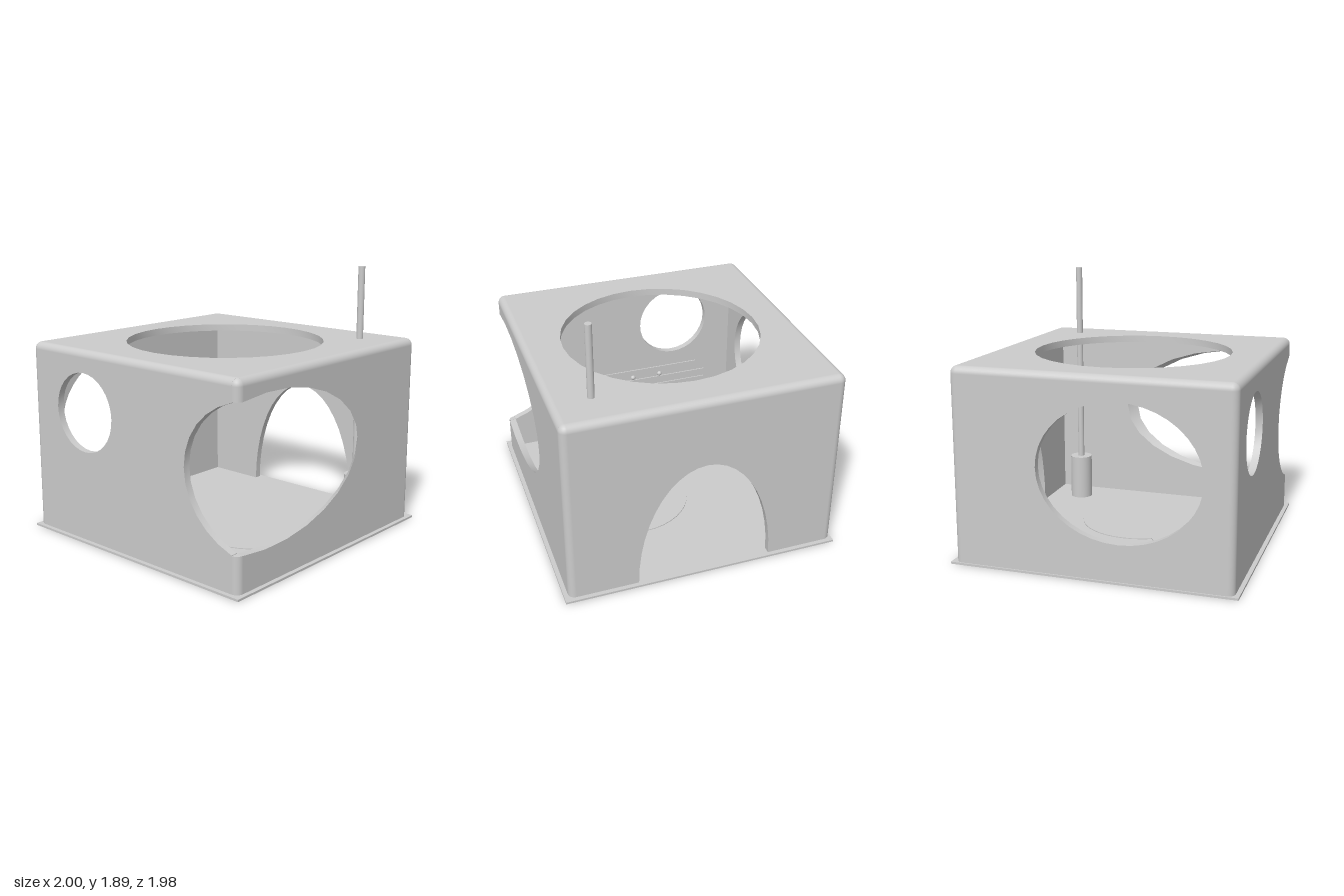
import * as THREE from 'three';
import { toCreasedNormals } from 'three/addons/utils/BufferGeometryUtils.js';
import { RoundedBoxGeometry } from 'three/addons/geometries/RoundedBoxGeometry.js';

// Inner faces of the shell; the wall thickness is also the edge radius
const T = 0.05, X = 0.92, ZF = 0.91, ZB = -0.93, Y0 = 0.015, Y1 = 1.325;
const ZC = (ZF + ZB) / 2, Q = Math.PI / 2;

export function createModel() {
  const model = new THREE.Group();
  const mat = new THREE.MeshStandardMaterial({ color: 0xcccccc, side: THREE.DoubleSide });

  function add(name, geo, x = 0, y = 0, z = 0, parent = model) {
    const mesh = new THREE.Mesh(geo, mat);
    mesh.name = name;
    mesh.position.set(x, y, z);
    parent.add(mesh);
    return mesh;
  }

  const v = (x, y) => new THREE.Vector2(x, y);

  // Points along an ellipse from angle a0 to a1
  function arc(cx, cy, rx, ry, a0, a1, n) {
    return Array.from({ length: n + 1 }, (_, i) => {
      const a = a0 + (a1 - a0) * i / n;
      return v(cx + rx * Math.cos(a), cy + ry * Math.sin(a));
    });
  }

  // Flat panel with holes; lean slides the inner rim of an opening sideways
  function panel(outline, holes = [], lean = 0) {
    const shape = new THREE.Shape(outline);
    holes.forEach(h => shape.holes.push(new THREE.Path(h)));
    const geo = new THREE.ExtrudeGeometry(shape, { depth: T, bevelEnabled: false });
    const p = geo.attributes.position;
    for (let i = 0; lean && i < p.count; i++) {
      if (p.getZ(i) < 0.001 && Math.abs(p.getX(i)) < X - 0.001) p.setX(i, p.getX(i) + lean);
    }
    return toCreasedNormals(geo, 0.5);
  }
  const ellipse = (cx, cy, rx, ry, n) => arc(cx, cy, rx, ry, 0, 2 * Math.PI, n).slice(0, -1);

  // Ground plate
  add('basePlate', new THREE.BoxGeometry(2, Y0, 1.98), 0, Y0 / 2, 0);

  // Front wall with the opening that wraps round the corner
  const f = Math.acos(-0.27 / 0.93);
  add('frontWall', panel([v(-X, Y0), v(X, Y0), v(X, Y1), v(-X, Y1),
    ...arc(-0.65, 0.75, 0.93, 0.505, f, -f, 16)], [], 0.07), 0, 0, ZF);

  // Right wall: rest of the corner opening and a round window
  const s = Math.acos(-0.19 / 0.59);
  add('rightWall', panel([v(ZB, Y0), v(ZF, Y0),
    ...arc(1.1, 0.75, 0.59, 0.505, 2 * Math.PI - s, s, 12), v(ZF, Y1), v(ZB, Y1)],
  [ellipse(-0.44, 0.94, 0.28, 0.28, 32)]), -X, 0, 0).rotation.y = -Q;

  // Back wall with a wide window
  add('backWall', panel([v(-X, Y0), v(X, Y0), v(X, Y1), v(-X, Y1)],
    [ellipse(0.2, 0.74, 0.565, 0.47, 40)]), 0, 0, ZB).rotation.y = Math.PI;

  // Left wall with the arched doorway
  add('leftWall', panel([v(-ZF, Y0), ...arc(0.01, Y0, 0.48, 0.87, Math.PI, 0, 22),
    v(-ZB, Y0), v(-ZB, Y1), v(-ZF, Y1)]), X, 0, 0).rotation.y = Q;

  // Roof with the skylight
  add('roof', panel([v(-X, -ZF), v(X, -ZF), v(X, -ZB), v(-X, -ZB)],
    [ellipse(0, 0.015, 0.705, 0.705, 32)]), 0, Y1, 0).rotation.x = -Q;

  // Rounded edges of the shell
  const edges = new THREE.Group();
  edges.name = 'roundedEdges';
  model.add(edges);
  const quarter = (len, start) => new THREE.CylinderGeometry(T, T, len, 8, 1, false, start * Q, Q);
  function post(x, z, start, y0, y1) {
    add('cornerPost', quarter(y1 - y0, start), x, (y0 + y1) / 2, z, edges);
  }
  post(X, ZF, 0, Y0, Y1);
  post(X, ZB, 1, Y0, Y1);
  post(-X, ZB, 2, Y0, Y1);
  post(-X, ZF, 3, Y0, 0.268);
  post(-X, ZF, 3, 1.232, Y1);
  add('frontRoofEdge', quarter(2 * X, 0).rotateZ(Q), 0, Y1, ZF, edges);
  add('backRoofEdge', quarter(2 * X, 1).rotateZ(Q), 0, Y1, ZB, edges);
  add('leftRoofEdge', quarter(ZF - ZB, 1).rotateX(Q), X, Y1, ZC, edges);
  add('rightRoofEdge', quarter(ZF - ZB, 2).rotateX(Q), -X, Y1, ZC, edges);
  [[-X, ZF], [X, ZF], [X, ZB], [-X, ZB]].forEach(([x, z], i) =>
    add('roofCorner', new THREE.SphereGeometry(T, 8, 6, i * Q, Q, 0, Q), x, Y1, z, edges));

  // Chimney pipe above a small stove
  add('chimney', new THREE.CylinderGeometry(0.024, 0.024, 1.54, 20), 0.68, 1.125, 0.68);
  add('stove', new THREE.CylinderGeometry(0.085, 0.085, 0.34, 24), 0.68, Y0 + 0.17, 0.68);

  // Round rug
  add('rug', new THREE.CylinderGeometry(0.45, 0.45, 0.006, 40), 0.02, Y0 + 0.003, 0.25);

  // Bed along the right wall
  add('bed', new RoundedBoxGeometry(0.25, 0.125, 0.68, 4, 0.035), -0.79, 0.0975, -0.57);

  // Small round table
  add('tableTop', new THREE.CylinderGeometry(0.15, 0.15, 0.006, 32), -0.44, 0.18, -0.5);
  add('tableLeg', new THREE.CylinderGeometry(0.01, 0.01, 0.165, 12), -0.44, 0.0975, -0.5);

  // Wall rack: three boards, the outer two with clipped ends, and pegs
  const rack = new THREE.Group();
  rack.name = 'wallRack';
  model.add(rack);
  const [r0, r1, c] = [-0.72, 0.25, 0.08];
  const boards = [
    [v(r0 + c, 0.29), v(r1 - c, 0.29), v(r1, 0.355), v(r1, 0.378), v(r0, 0.378), v(r0, 0.355)],
    [v(r0, 0.384), v(r1, 0.384), v(r1, 0.448), v(r0, 0.448)],
    [v(r0, 0.456), v(r1, 0.456), v(r1, 0.475), v(r1 - c, 0.54), v(r0 + c, 0.54), v(r0, 0.475)],
  ];
  boards.forEach(b => {
    const geo = new THREE.ExtrudeGeometry(new THREE.Shape(b), { depth: 0.01, bevelEnabled: false });
    add('board', geo, -X + 0.01, 0, 0, rack).rotation.y = -Q;
  });
  [[0.2, 0.475], [-0.09, 0.475], [-0.32, 0.475], [-0.04, 0.31]].forEach(([z, y]) =>
    add('peg', new THREE.SphereGeometry(0.02, 16, 10), -0.91, y, z, rack));

  return model;
}
